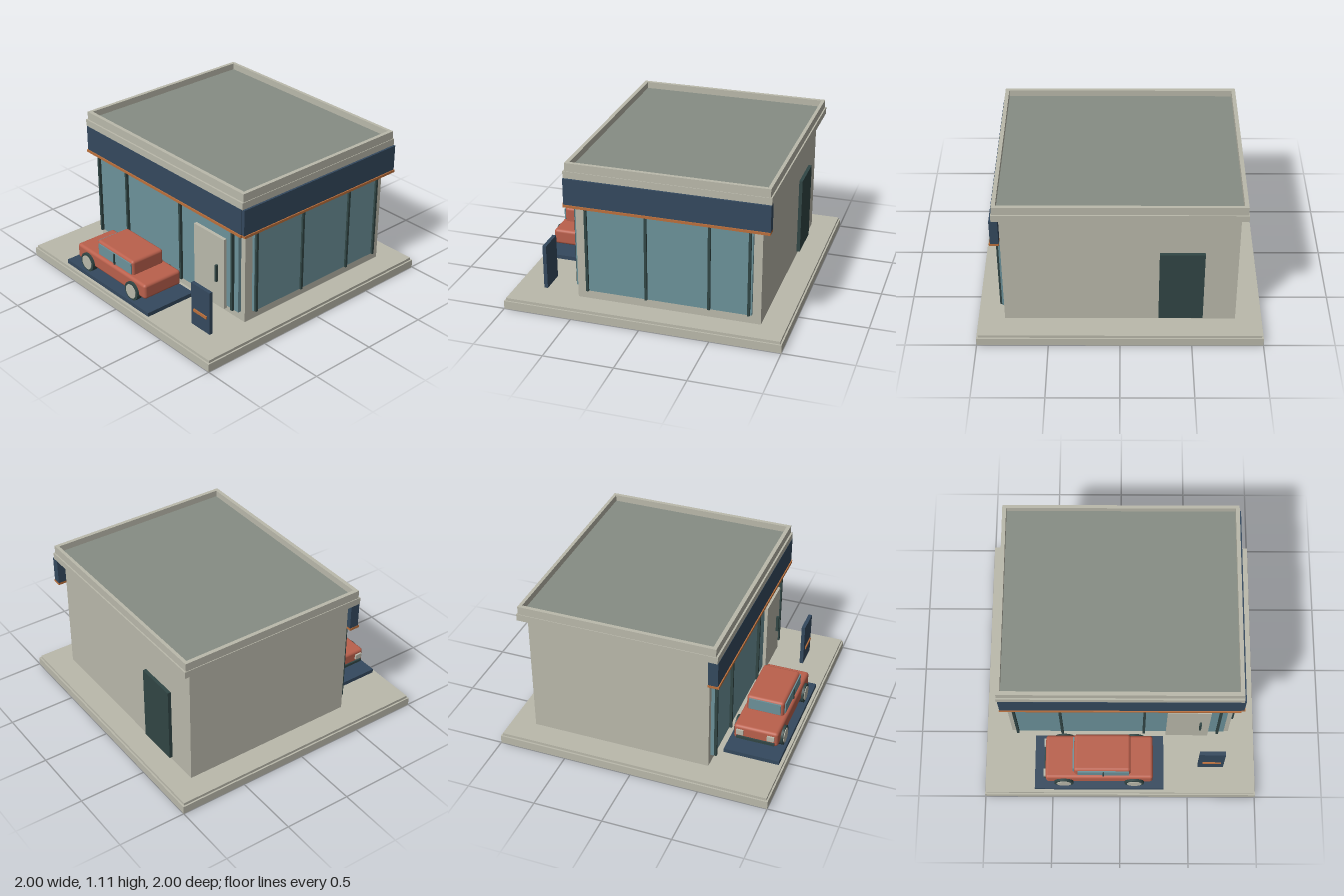
import * as THREE from 'three';
import { RoundedBoxGeometry } from 'three/addons/geometries/RoundedBoxGeometry.js';

const mat = (name, color) => {
  const m = new THREE.MeshStandardMaterial({ color });
  m.name = name;
  return m;
};

export function createModel() {
  const concrete = mat('concrete', 0xbab9ab);
  const roofing = mat('roofing', 0x868d84);
  const navy = mat('navy', 0x34495e);
  const orange = mat('orange trim', 0xbb703c);
  const glass = mat('glass', 0x6c929a);
  const frame = mat('dark frame', 0x314645);
  const paint = mat('red paint', 0xba604c);

  const add = (parent, name, geometry, material) => {
    const mesh = new THREE.Mesh(geometry, material);
    mesh.name = name;
    parent.add(mesh);
    return mesh;
  };
  // Box given by its extents; a radius rounds the edges
  const box = (parent, name, material, [x0, x1], [y0, y1], [z0, z1], radius = 0) => {
    const size = [x1 - x0, y1 - y0, z1 - z0];
    const g = radius ? new RoundedBoxGeometry(...size, 3, radius) : new THREE.BoxGeometry(...size);
    g.translate((x0 + x1) / 2, (y0 + y1) / 2, (z0 + z1) / 2);
    return add(parent, name, g, material);
  };
  const group = (parent, name) => {
    const g = new THREE.Group();
    g.name = name;
    parent.add(g);
    return g;
  };

  const model = new THREE.Group();
  model.name = 'showroom';

  // Ground slab with a stepped rim
  const ground = group(model, 'groundSlab');
  box(ground, 'slab', concrete, [-1, 1], [0, 0.06], [-1, 1]);
  box(ground, 'slabTop', concrete, [-0.988, 0.988], [0.06, 0.08], [-0.988, 0.988]);

  // Building shell
  const building = group(model, 'building');
  box(building, 'walls', concrete, [-0.81, 0.81], [0.08, 1], [-0.81, 0.51]);

  // Front and left-hand glazing
  box(building, 'frontGlass', glass, [-0.77, 0.77], [0.15, 0.8], [0.505, 0.535]);
  for (const x of [-0.76, -0.43, 0.175, 0.72])
    box(building, 'frontMullion', frame, [x - 0.009, x + 0.009], [0.15, 0.8], [0.51, 0.555]);
  box(building, 'sideGlass', glass, [0.805, 0.83], [0.15, 0.8], [-0.75, 0.445]);
  for (const z of [0.43, 0, -0.45, -0.73])
    box(building, 'sideMullion', frame, [0.81, 0.845], [0.15, 0.8], [z - 0.009, z + 0.009]);

  // Doors
  box(building, 'frontDoor', concrete, [0.34, 0.65], [0.13, 0.68], [0.53, 0.56]);
  box(building, 'doorHandle', frame, [0.577, 0.592], [0.33, 0.46], [0.56, 0.58]);
  box(building, 'backDoor', frame, [-0.58, -0.27], [0.105, 0.68], [-0.835, -0.81]);

  // Fascia bands with trim along the lower edge
  box(building, 'frontFascia', navy, [-0.845, 0.845], [0.81, 1], [0.51, 0.58]);
  box(building, 'sideFascia', navy, [0.81, 0.868], [0.81, 1], [-0.872, 0.575]);
  box(building, 'frontTrim', orange, [-0.848, 0.848], [0.792, 0.81], [0.51, 0.588]);
  box(building, 'sideTrim', orange, [0.81, 0.876], [0.792, 0.81], [-0.872, 0.575]);

  // Cornice, raised parapet and roof deck
  box(building, 'cornice', concrete, [-0.853, 0.853], [1, 1.05], [-0.872, 0.578]);
  const rect = (shape, x, z0, z1) => {
    shape.moveTo(-x, z0).lineTo(x, z0).lineTo(x, z1).lineTo(-x, z1).closePath();
    return shape;
  };
  const ring = rect(new THREE.Shape(), 0.848, -0.565, 0.862);
  ring.holes.push(rect(new THREE.Path(), 0.82, -0.537, 0.838));
  const parapet = new THREE.ExtrudeGeometry(ring, { depth: 0.06, bevelEnabled: false });
  parapet.rotateX(-Math.PI / 2).translate(0, 1.05, 0);
  add(building, 'parapet', parapet, concrete);
  box(building, 'roofDeck', roofing, [-0.82, 0.82], [1.05, 1.062], [-0.838, 0.537]);

  // Freestanding sign board
  const board = group(model, 'signBoard');
  box(board, 'panel', navy, [0.578, 0.766], [0.08, 0.41], [0.763, 0.79]);
  box(board, 'stripe', orange, [0.608, 0.742], [0.195, 0.215], [0.79, 0.799]);

  // Display platform and car, nose towards -x
  box(model, 'displayPlatform', navy, [-0.63, 0.322], [0.08, 0.11], [0.56, 0.965]);
  const car = group(model, 'car');
  box(car, 'body', paint, [-0.545, 0.24], [0.157, 0.273], [0.602, 0.926], 0.022);
  box(car, 'cabin', paint, [-0.335, 0.077], [0.25, 0.382], [0.625, 0.9], 0.022);
  box(car, 'windscreen', glass, [-0.344, -0.334], [0.283, 0.368], [0.645, 0.88]);
  box(car, 'sideWindow', glass, [-0.308, 0.066], [0.28, 0.364], [0.899, 0.908]);
  box(car, 'windowPillar', frame, [-0.127, -0.115], [0.28, 0.364], [0.905, 0.917]);
  box(car, 'bumper', frame, [-0.557, -0.543], [0.172, 0.192], [0.625, 0.903]);
  for (const z of [0.65, 0.875])
    box(car, 'headlight', concrete, [-0.559, -0.543], [0.207, 0.245], [z - 0.026, z + 0.026]);

  // Wheels, outward side given by s
  for (const x of [-0.412, 0.105])
    for (const s of [-1, 1]) {
      const wheel = group(car, 'wheel');
      wheel.position.set(x, 0.176, 0.764 + s * 0.157);
      const disc = (name, r, w, m, z) =>
        add(wheel, name, new THREE.CylinderGeometry(r, r, w, 28).rotateX(Math.PI / 2).translate(0, 0, z), m);
      disc('tyre', 0.071, 0.044, frame, 0);
      disc('hub', 0.053, 0.008, concrete, s * 0.023);
    }

  return model;
}
